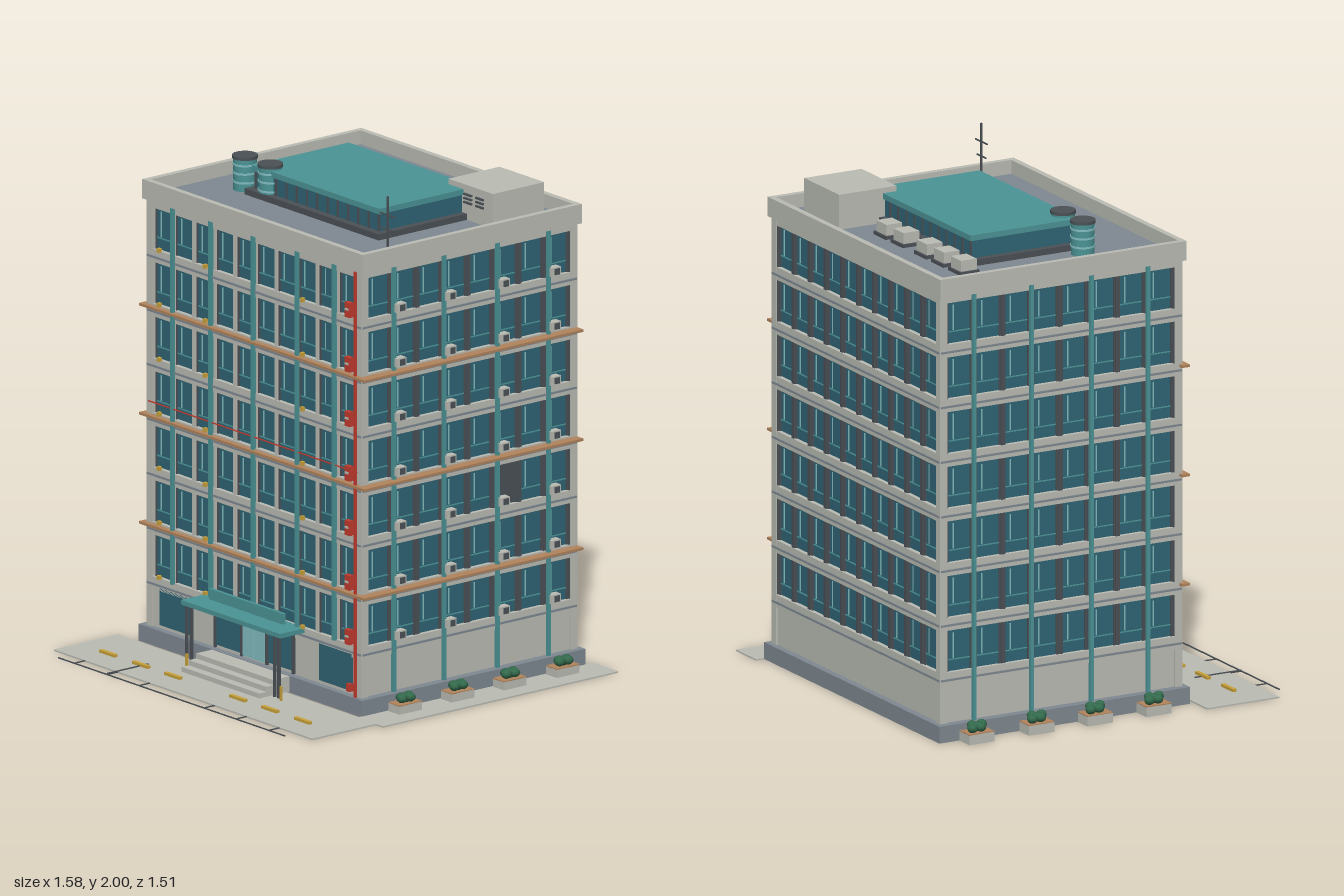
import * as THREE from 'three';
import { mergeGeometries } from 'three/addons/utils/BufferGeometryUtils.js';

const mat = (name, color) => {
  const m = new THREE.MeshStandardMaterial({ color });
  m.name = name;
  return m;
};

export function createModel() {
  const wall = mat('pale concrete', 0xbabcb4), slate = mat('slate', 0x7f8991);
  const dark = mat('dark metal', 0x4b5156), glass = mat('blue glass', 0x2f6474);
  const teal = mat('teal', 0x4b9395), pale = mat('pale teal', 0x82bcc0);
  const brown = mat('tan brown', 0xb0845c), red = mat('red', 0xc23a2e);
  const yellow = mat('yellow', 0xc9a23c), green = mat('leaf green', 0x336a4c);

  const model = new THREE.Group();
  model.name = 'officeBuilding';
  const CX = -0.027, CZ = -0.178, HX = 0.635, HZ = 0.523;
  const FLOOR = 0.2145, FLOORS = 7, TOP = 1.745;
  const bandY = i => 1.53 - FLOOR * i;

  const add = (parent, name, material, geo) => {
    const mesh = new THREE.Mesh(geo, material);
    mesh.name = name;
    parent.add(mesh);
    return mesh;
  };
  // One mesh from boxes given as [x, y, z, width, height, depth] about their centres
  const boxes = (parent, name, material, list) => add(parent, name, material,
    mergeGeometries(list.map(([x, y, z, w, h, d]) => new THREE.BoxGeometry(w, h, d).translate(x, y, z))));
  // One box from its limits
  const span = (parent, name, material, x0, x1, y0, y1, z0, z1) =>
    boxes(parent, name, material, [[(x0 + x1) / 2, (y0 + y1) / 2, (z0 + z1) / 2, x1 - x0, y1 - y0, z1 - z0]]);
  const range = n => [...Array(n).keys()];

  // Plinth, glazed core, ground floor wall and corner columns
  boxes(model, 'plinth', slate, [[CX, 0.037, CZ, 1.33, 0.066, 1.09]]);
  boxes(model, 'glazedCore', glass, [[CX, 1.0, CZ, 2 * HX - 0.03, 1.48, 2 * HZ - 0.03]]);
  boxes(model, 'groundFloorWall', wall, [[CX, 0.165, CZ, 2 * HX - 0.01, 0.19, 2 * HZ - 0.01]]);
  boxes(model, 'cornerColumns', wall, [-1, 1].flatMap(sx => [-1, 1].map(sz =>
    [CX + sx * (HX - 0.012), 0.905, CZ + sz * (HZ - 0.012), 0.032, 1.68, 0.032])));

  // Window grid for one side, built facing +z and then turned
  const facade = (name, half, depth, turn, cols, pierMat) => {
    const g = new THREE.Group();
    g.name = name;
    g.rotation.y = turn;
    g.position.set(CX, 0, CZ);
    model.add(g);
    const inner = half - 0.025, pitch = 2 * inner / cols;
    const x = c => -inner + pitch * c;
    const cells = range(FLOORS).flatMap(f => range(cols).map(c => [x(c + 0.5), bandY(f) + 0.025]));
    boxes(g, 'floorBands', wall, [
      ...range(FLOORS).map(f => [0, bandY(f), depth - 0.01, 2 * half - 0.01, 0.05, 0.024]),
      [0, 1.733, depth - 0.01, 2 * half - 0.01, 0.03, 0.024]]);
    boxes(g, 'floorBandShadowLines', slate,
      range(FLOORS).map(f => [0, bandY(f) - 0.004, depth + 0.003, 2 * half, 0.008, 0.008]));
    boxes(g, 'windowPiers', pierMat,
      range(cols + 1).map(c => [x(c), 1.0, depth - 0.01, 0.017, 1.46, 0.018]));
    boxes(g, 'windowFrames', dark, cells.flatMap(([cx, y]) => [-1, 1].map(s =>
      [cx + s * (pitch / 2 - 0.011), y + 0.082, depth - 0.013, 0.006, 0.165, 0.01])));
    boxes(g, 'windowTransoms', teal, cells.map(([cx, y]) => [cx, y + 0.045, depth - 0.014, pitch - 0.02, 0.004, 0.006]));
    boxes(g, 'windowGlints', pale, cells.map(([cx, y]) => [cx - pitch * 0.2, y + 0.1, depth - 0.014, 0.005, 0.1, 0.004]));
    return g;
  };
  const front = facade('frontFacade', HX, HZ, 0, 10, wall);
  facade('backFacade', HX, HZ, Math.PI, 10, dark);
  const left = facade('leftFacade', HZ, HX, Math.PI / 2, 8, dark);
  const right = facade('rightFacade', HZ, HX, -Math.PI / 2, 8, dark);

  // Teal downpipes
  boxes(front, 'downpipes', teal, [-0.48, -0.253, 0, 0.259, 0.481].map(x => [x, 1.005, HZ + 0.008, 0.014, 1.48, 0.014]));
  const pipeX = [-0.374, -0.128, 0.132, 0.382];
  for (const [side, s] of [[left, 1], [right, -1]])
    boxes(side, 'downpipes', teal, pipeX.map(x => [s * x, 0.905, HX + 0.008, 0.014, 1.68, 0.014]));

  // Air conditioners along the left side, with dark grilles
  const units = range(FLOORS).flatMap(f => pipeX.map(x => [x + 0.022, bandY(f) + 0.05]));
  boxes(left, 'airConditioners', wall, units.map(([x, y]) => [x, y, HX + 0.012, 0.046, 0.034, 0.032]));
  boxes(left, 'airConditionerGrilles', dark, units.map(([x, y]) => [x + 0.004, y, HX + 0.029, 0.024, 0.024, 0.004]));
  boxes(left, 'greyPanel', dark, [[0.207, 0.783, HX - 0.014, 0.09, 0.165, 0.008]]);

  // Tan ledges on the front and left sides
  for (const f of [1, 3, 5]) {
    const y = bandY(f) + 0.014;
    span(model, 'frontLedge', brown, -0.685, 0.652, y - 0.005, y + 0.005, 0.335, 0.37);
    span(model, 'leftLedge', brown, 0.6, 0.652, y - 0.005, y + 0.005, CZ - HZ, 0.37);
  }

  // Fire riser with hose boxes, and small sill lamps
  boxes(model, 'fireRiser', red, [[0.585, 0.9, 0.358, 0.01, 1.69, 0.01], [-0.03, 0.955, 0.354, 1.24, 0.004, 0.004]]);
  boxes(model, 'hoseBoxes', red, [...range(FLOORS).map(f => [0.54, bandY(f) + 0.055, 0.352, 0.03, 0.058, 0.02]),
    [0.545, 0.1, 0.352, 0.02, 0.03, 0.02]]);
  boxes(model, 'hoseBoxLabels', wall, range(FLOORS).map(f => [0.54, bandY(f) + 0.058, 0.363, 0.02, 0.008, 0.004]));
  boxes(model, 'sillLamps', yellow, range(FLOORS).flatMap(f =>
    [-0.587, -0.313, 0.264].map(x => [x, bandY(f) + 0.03, 0.352, 0.014, 0.016, 0.014])));

  // Entrance glazing, canopy, sign board and steps
  const zf = CZ + HZ;
  boxes(model, 'groundWindows', glass, [[-0.495, 0.157, zf - 0.002, 0.19, 0.145, 0.008],
    [0.452, 0.157, zf - 0.002, 0.195, 0.145, 0.008], [-0.024, 0.157, zf - 0.002, 0.46, 0.145, 0.008]]);
  boxes(model, 'entranceDoors', pale, [[-0.059, 0.145, zf + 0.004, 0.062, 0.13, 0.008], [0.008, 0.145, zf + 0.004, 0.062, 0.13, 0.008]]);
  boxes(model, 'entranceFrames', dark, [-0.257, -0.1, 0.05, 0.207].map(x => [x, 0.155, zf + 0.004, 0.01, 0.16, 0.01]));
  span(model, 'canopy', teal, -0.317, 0.27, 0.25, 0.268, 0.34, 0.467);
  boxes(model, 'signBoard', teal, [[-0.024, 0.295, 0.385, 0.44, 0.042, 0.014]]);
  boxes(model, 'canopyPosts', dark, [-0.298, -0.27, 0.224, 0.25].map(x => [x, 0.13, 0.455, 0.01, 0.245, 0.01]));
  range(3).forEach(i => span(model, 'entranceStep', wall, -0.255, 0.205, 0.008, 0.068 - 0.02 * i, 0.36, 0.445 + 0.035 * i));
  boxes(model, 'handrailPosts', yellow, [-0.28, 0.28].map(x => [x, 0.035, 0.47, 0.009, 0.06, 0.009]));

  // Pavements and parking bay
  span(model, 'frontPavement', wall, -0.79, 0.745, 0.003, 0.009, 0.385, 0.7);
  span(model, 'sidePavement', wall, 0.635, 0.787, 0.003, 0.009, -0.76, 0.39);
  const bays = [-0.605, -0.41, -0.22, 0.165, 0.355, 0.55];
  boxes(model, 'wheelStops', yellow, bays.map(x => [x, 0.014, 0.585, 0.09, 0.012, 0.016]));
  boxes(model, 'bayLines', dark, [[-0.027, 0.007, 0.752, 1.345, 0.004, 0.005],
    ...bays.map(x => [x, 0.007, 0.725, 0.005, 0.004, 0.05]), [-0.41, 0.011, 0.65, 0.005, 0.004, 0.2]]);

  // Planters with bushes on both sides
  for (const [x, w] of [[-0.728, 0.074], [0.677, 0.066]]) for (const z of [-0.58, -0.32, -0.066, 0.19]) {
    const g = new THREE.Group();
    g.name = 'planter';
    g.position.set(x, 0, z);
    model.add(g);
    boxes(g, 'planterBox', wall, [[0, 0.022, 0, w, 0.038, 0.11]]);
    boxes(g, 'planterSoil', brown, [[0, 0.042, 0, w, 0.004, 0.11]]);
    add(g, 'bush', green, mergeGeometries([[-0.014, -0.028], [0.016, -0.012], [-0.012, 0.01], [0.014, 0.028], [0.002, 0.0]].map(
      ([bx, bz], i) => new THREE.SphereGeometry(0.021, 8, 6).scale(1, 0.85, 1).translate(bx, 0.06 + 0.004 * (i % 2), bz))));
  }

  // Roof deck and parapet
  const PX = 0.655, PZ = 0.535;
  boxes(model, 'roofDeck', slate, [[CX, 1.755, CZ, 2 * PX - 0.02, 0.022, 2 * PZ - 0.02]]);
  boxes(model, 'parapet', wall, [-1, 1].flatMap(s => [
    [CX, 1.782, CZ + s * (PZ - 0.012), 2 * PX, 0.076, 0.024],
    [CX + s * (PX - 0.012), 1.782, CZ, 0.024, 0.076, 2 * PZ - 0.048]]));

  // Rooftop hall with a glazed strip
  span(model, 'hallBase', dark, -0.42, 0.375, 1.765, 1.79, -0.437, 0.072);
  span(model, 'hallGlazing', glass, -0.392, 0.347, 1.79, 1.862, -0.41, 0.042);
  span(model, 'hallRoof', teal, -0.4, 0.355, 1.86, 1.882, -0.42, 0.052);
  boxes(model, 'hallMullions', dark, range(13).flatMap(i => [0.044, -0.412].map(z => [-0.388 + i * 0.061, 1.825, z, 0.008, 0.07, 0.006])));

  // Stair house with vents
  span(model, 'stairHouse', wall, 0.265, 0.53, 1.765, 1.903, -0.61, -0.36);
  boxes(model, 'stairHouseVents', dark, [0.385, 0.455].flatMap(x =>
    range(3).map(i => [x, 1.835 + 0.016 * i, -0.356, 0.045, 0.007, 0.008])));

  // Water tanks with hoops and dark lids
  for (const x of [-0.475, -0.325]) {
    const cyl = (name, m, r, h, y) => add(model, name, m, new THREE.CylinderGeometry(r, r, h, 20).translate(x, y, 0.025));
    cyl('tankBody', teal, 0.045, 0.125, 1.828);
    for (const y of [1.8, 1.835, 1.868]) cyl('tankHoop', pale, 0.048, 0.007, y);
    cyl('tankLid', dark, 0.049, 0.012, 1.896);
  }

  // Roof cooling units
  const coolers = [-0.462, -0.333, -0.203, -0.026, 0.103];
  boxes(model, 'coolingUnitBases', dark, coolers.map(x => [x, 1.772, -0.485, 0.094, 0.014, 0.084]));
  boxes(model, 'coolingUnits', wall, coolers.map(x => [x, 1.8, -0.485, 0.078, 0.044, 0.068]));

  // Antenna
  boxes(model, 'antenna', dark, [[0.555, 1.88, 0.175, 0.007, 0.24, 0.007],
    [0.555, 1.927, 0.175, 0.09, 0.005, 0.005], [0.555, 1.87, 0.175, 0.07, 0.005, 0.005]]);

  return model;
}
